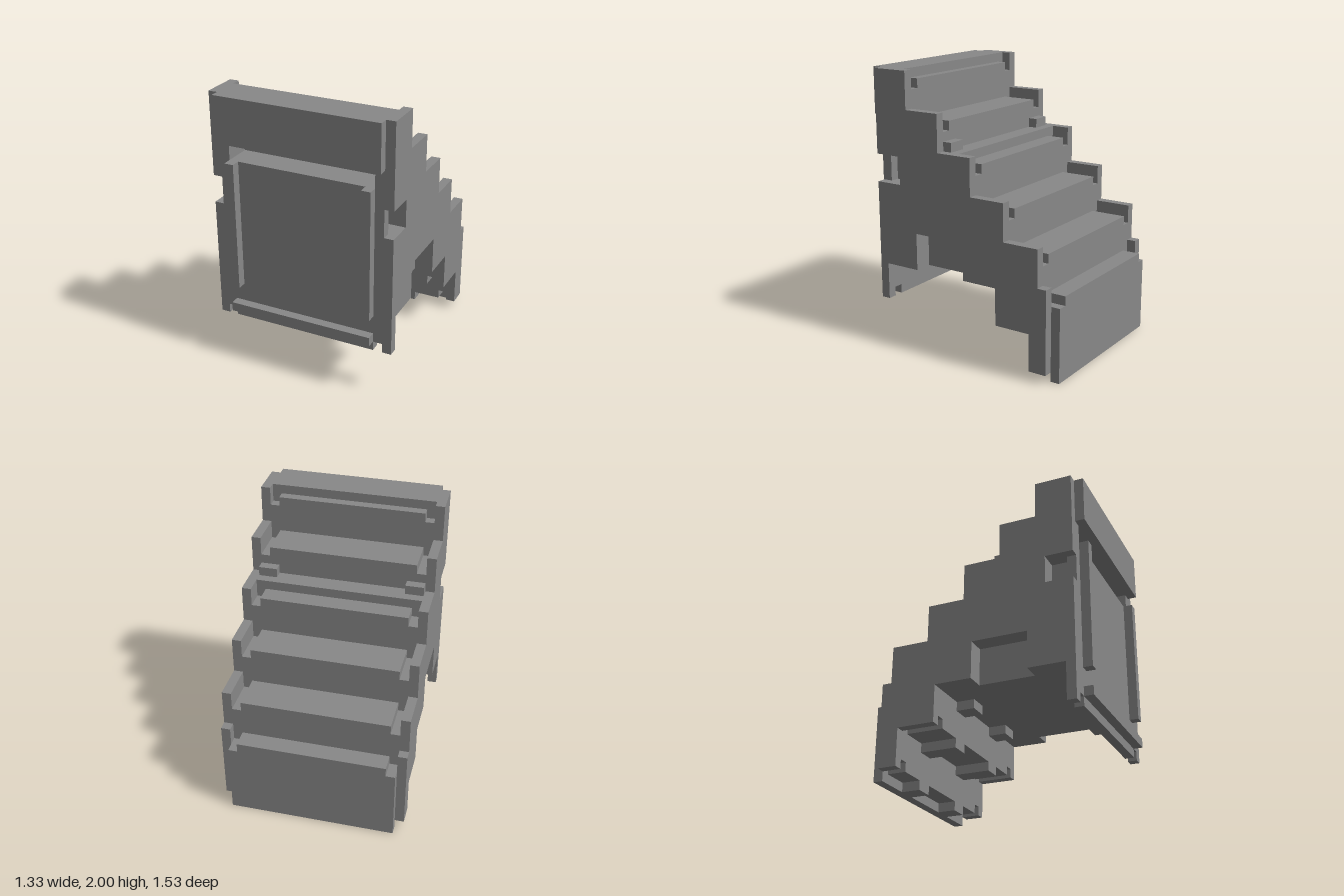
import * as THREE from 'three';

const U = 1 / 15; // one block of the construction grid
const grey = new THREE.MeshStandardMaterial({ color: 0x888888 });
grey.name = 'grey';

export function createModel() {
  const model = new THREE.Group();
  model.name = 'staircase';

  const add = (name, geometry) => {
    geometry.scale(U, U, U);
    const mesh = new THREE.Mesh(geometry, grey);
    mesh.name = name;
    model.add(mesh);
  };

  const toPoints = (list) => list.map(([z, y]) => new THREE.Vector2(z, y));

  // Side profile of [z, y] points, extruded from x0 to x1
  const slab = (name, x0, x1, profile, hole) => {
    const shape = new THREE.Shape(toPoints(profile));
    if (hole) shape.holes.push(new THREE.Path(toPoints(hole)));
    const geometry = new THREE.ExtrudeGeometry(shape, { depth: x1 - x0, bevelEnabled: false });
    geometry.rotateY(-Math.PI / 2);
    geometry.translate(x1, 0, 0);
    add(name, geometry);
  };

  const box = (name, x0, x1, y0, y1, z0, z1) => {
    const geometry = new THREE.BoxGeometry(x1 - x0, y1 - y0, z1 - z0);
    geometry.translate((x0 + x1) / 2, (y0 + y1) / 2, (z0 + z1) / 2);
    add(name, geometry);
  };

  const mirrored = (build) => {
    build('left', (a, b) => [a, b]);
    build('right', (a, b) => [-b, -a]);
  };

  // Middle of the stairs: recessed front slot, treads, stepped underside
  slab('stairCore', -8, 8, [
    [10.5, 5], [10.5, 23], [7.5, 23], [7.5, 25], [11.5, 25], [11.5, 30],
    [7.5, 30], [7.5, 29], [6.5, 29], [6.5, 25], [2.5, 25], [2.5, 22],
    [0.5, 22], [0.5, 21], [-1.5, 21], [-1.5, 17], [-5.5, 17], [-5.5, 13],
    [-9.5, 13], [-9.5, 9], [-11.5, 9], [-11.5, 0], [-10.5, 0], [-10.5, 1],
    [-8.5, 1], [-8.5, 5], [-4.5, 5], [-4.5, 9], [9.5, 9], [9.5, 5],
  ]);

  mirrored((side, span) => {
    // Lower channel between the treads and the side wall
    slab(side + 'Channel', ...span(8, 9), [
      [10.5, 6], [10.5, 25], [11.5, 25], [11.5, 30], [7.5, 30], [7.5, 28],
      [6.5, 28], [6.5, 24], [2.5, 24], [2.5, 22], [0.5, 22], [0.5, 20],
      [-1.5, 20], [-1.5, 16], [-5.5, 16], [-5.5, 12], [-9.5, 12], [-9.5, 8],
      [-11.5, 8], [-11.5, 0], [-10.5, 0], [-10.5, 2], [-8.5, 2], [-8.5, 6],
      [-4.5, 6], [-4.5, 9], [-0.5, 9], [-0.5, 13], [5.5, 13], [5.5, 9],
      [9.5, 9], [9.5, 6],
    ], [[7.5, 18], [7.5, 21], [9.5, 21], [9.5, 18]]);

    // Raised outer wall with the front notch and the lower opening
    slab(side + 'Wall', ...span(9, 10), [
      [10.5, 5], [10.5, 18], [7.5, 18], [7.5, 21], [10.5, 21], [10.5, 30],
      [6.5, 30], [6.5, 26], [2.5, 26], [2.5, 22], [-1.5, 22], [-1.5, 18],
      [-5.5, 18], [-5.5, 14], [-9.5, 14], [-9.5, 10], [-10.5, 10], [-10.5, 1],
      [-8.5, 1], [-8.5, 5], [-4.5, 5], [-4.5, 9], [-0.5, 9], [-0.5, 13],
      [5.5, 13], [5.5, 9], [9.5, 9], [9.5, 5],
    ]);

    // Front rail and step peg
    box(side + 'FrontRail', ...span(7, 8), 9, 23, 10.5, 11.5);
    box(side + 'Peg', ...span(7, 9), 22, 23, 1.5, 2.5);

    // Tabs below each underside step
    [[8, -4.5, -2.5], [4, -8.5, -4.5], [0, -10.5, -8.5]].forEach(([y, z0, z1]) =>
      box(side + 'Tab', ...span(3, 5), y, y + 1, z0, z1));
  });

  // Ledge at the foot of the front panel
  box('frontLip', -8, 8, 6, 7, 10.5, 11.5);

  return model;
}
